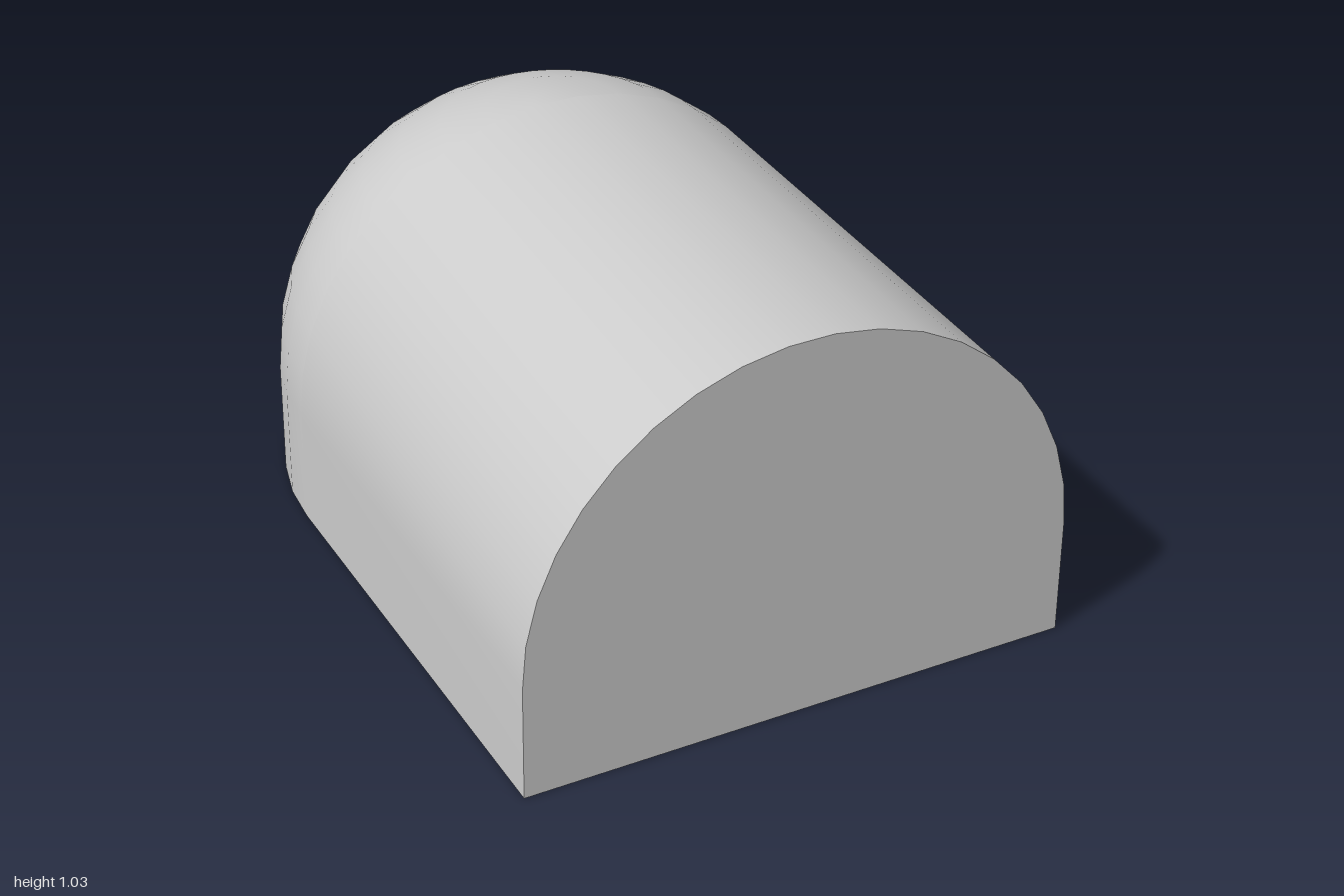
import * as THREE from 'three';

const R = 0.722;      // radius of the vault and of the rounded end
const WALL = 0.307;   // height of the straight walls
const SEGS = 19;      // sides of each half circle
const FRONT = 1;
const CENTRE = -1 + R * Math.cos(Math.PI / SEGS / 2); // z where the rounded end starts

// Half circle from +x over to -x, starting at height y0
function halfCircle(y0, sign = 1) {
  return Array.from({ length: SEGS + 1 }, (_, i) => {
    const a = (i / SEGS) * Math.PI;
    return new THREE.Vector2(R * Math.cos(a), y0 + sign * R * Math.sin(a));
  });
}

export function createModel() {
  const group = new THREE.Group();
  const material = new THREE.MeshStandardMaterial({ color: 0xcccccc });
  const add = (name, geometry) => {
    const mesh = new THREE.Mesh(geometry, material);
    mesh.name = name;
    group.add(mesh);
  };

  // Arched cross-section, from the foot of one wall to the other
  const arch = [new THREE.Vector2(R, 0), ...halfCircle(WALL), new THREE.Vector2(-R, 0)];

  // Straight vault: a sheet bent over the arch
  const last = arch.length - 1;
  const vault = new THREE.PlaneGeometry(1, 1, last, 1);
  const pos = vault.attributes.position;
  for (let i = 0; i < pos.count; i++) {
    const p = arch[last - (i % (last + 1))];
    pos.setXYZ(i, p.x, p.y, i <= last ? CENTRE : FRONT);
  }
  vault.computeVertexNormals();
  add('vault', vault);

  // Rounded back end: half of the arch turned about the vertical axis
  const profile = arch.slice(0, arch.length / 2);
  profile.push(new THREE.Vector2(0, profile[profile.length - 1].y));
  const end = new THREE.LatheGeometry(profile, SEGS, Math.PI / 2, Math.PI);
  end.translate(0, 0, CENTRE);
  add('roundedEnd', end);

  // Flat front wall
  const front = new THREE.ShapeGeometry(new THREE.Shape(arch));
  front.translate(0, 0, FRONT);
  add('frontWall', front);

  // Flat underside, facing down
  const plan = [new THREE.Vector2(R, FRONT), ...halfCircle(CENTRE, -1), new THREE.Vector2(-R, FRONT)];
  const floor = new THREE.ShapeGeometry(new THREE.Shape(plan));
  floor.rotateX(Math.PI / 2);
  add('underside', floor);

  return group;
}
